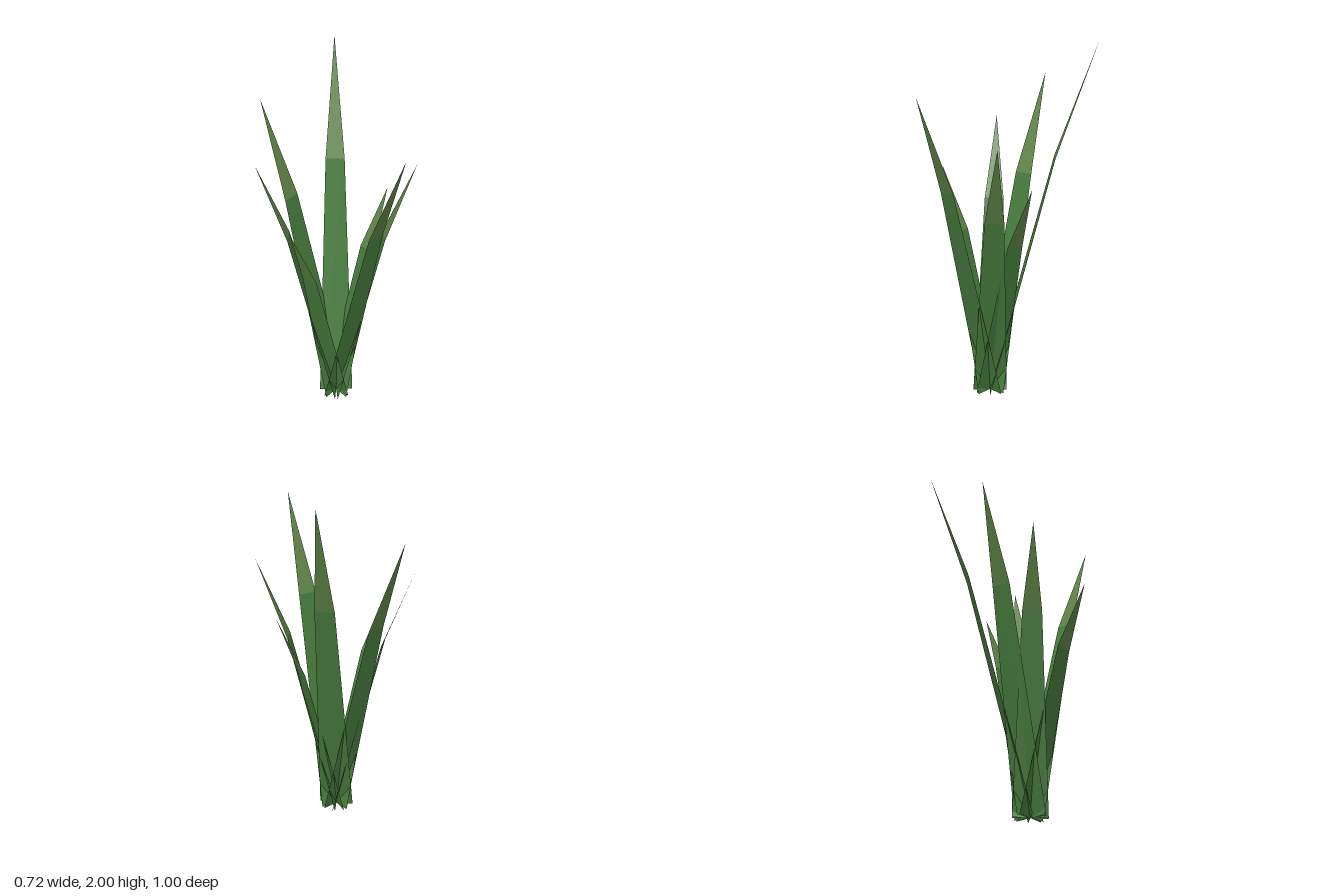
import * as THREE from 'three';

// Blade tips: x, z, height, and the height of the bend
const BLADES = [
  [0.345, -0.47, 2.0, 1.36],
  [-0.137, -0.5, 1.75, 1.21],
  [-0.325, -0.3, 1.5, 1.06],
  [-0.36, 0.055, 1.25, 0.9],
  [0.037, 0.495, 1.75, 1.21],
  [0.36, 0.222, 1.5, 1.06],
  [0.355, -0.01, 1.25, 0.9],
];
const ROOT = new THREE.Vector2(-0.006, -0.01);
const BASE_HALF = 0.095, BEND_HALF = 0.053, BEND_AT = 0.605;

const leafMaterial = (color) => new THREE.MeshStandardMaterial({
  color, roughness: 0.9, flatShading: true, side: THREE.DoubleSide,
});

function panel(name, corners, index, material) {
  const geometry = new THREE.BufferGeometry().setFromPoints(corners);
  geometry.setIndex(index);
  geometry.computeVertexNormals();
  const mesh = new THREE.Mesh(geometry, material);
  mesh.name = name;
  return mesh;
}

export function createModel() {
  const model = new THREE.Group();
  model.name = 'grassTuft';
  const lowerGreen = leafMaterial(0x467a3c);
  const tipGreen = leafMaterial(0x5f8446);

  BLADES.forEach(([x, z, height, bendY], i) => {
    const lean = new THREE.Vector2(x, z).sub(ROOT);
    const side = new THREE.Vector2(-lean.y, lean.x).normalize();
    // Point on the blade: fraction along the lean, height, sideways offset
    const at = (t, y, offset) => new THREE.Vector3(
      ROOT.x + lean.x * t + side.x * offset, y,
      ROOT.y + lean.y * t + side.y * offset);
    const bendA = at(BEND_AT, bendY, -BEND_HALF);
    const bendB = at(BEND_AT, bendY, BEND_HALF);

    const blade = new THREE.Group();
    blade.name = `blade${i + 1}`;
    // Tapering lower panel, then a triangular tip that leans further out
    blade.add(
      panel('bladeLower', [at(0, 0, -BASE_HALF), at(0, 0, BASE_HALF), bendB, bendA],
        [0, 2, 1, 0, 3, 2], lowerGreen),
      panel('bladeTip', [bendA, bendB, at(1, height, 0)], [0, 2, 1], tipGreen));
    model.add(blade);
  });
  return model;
}
